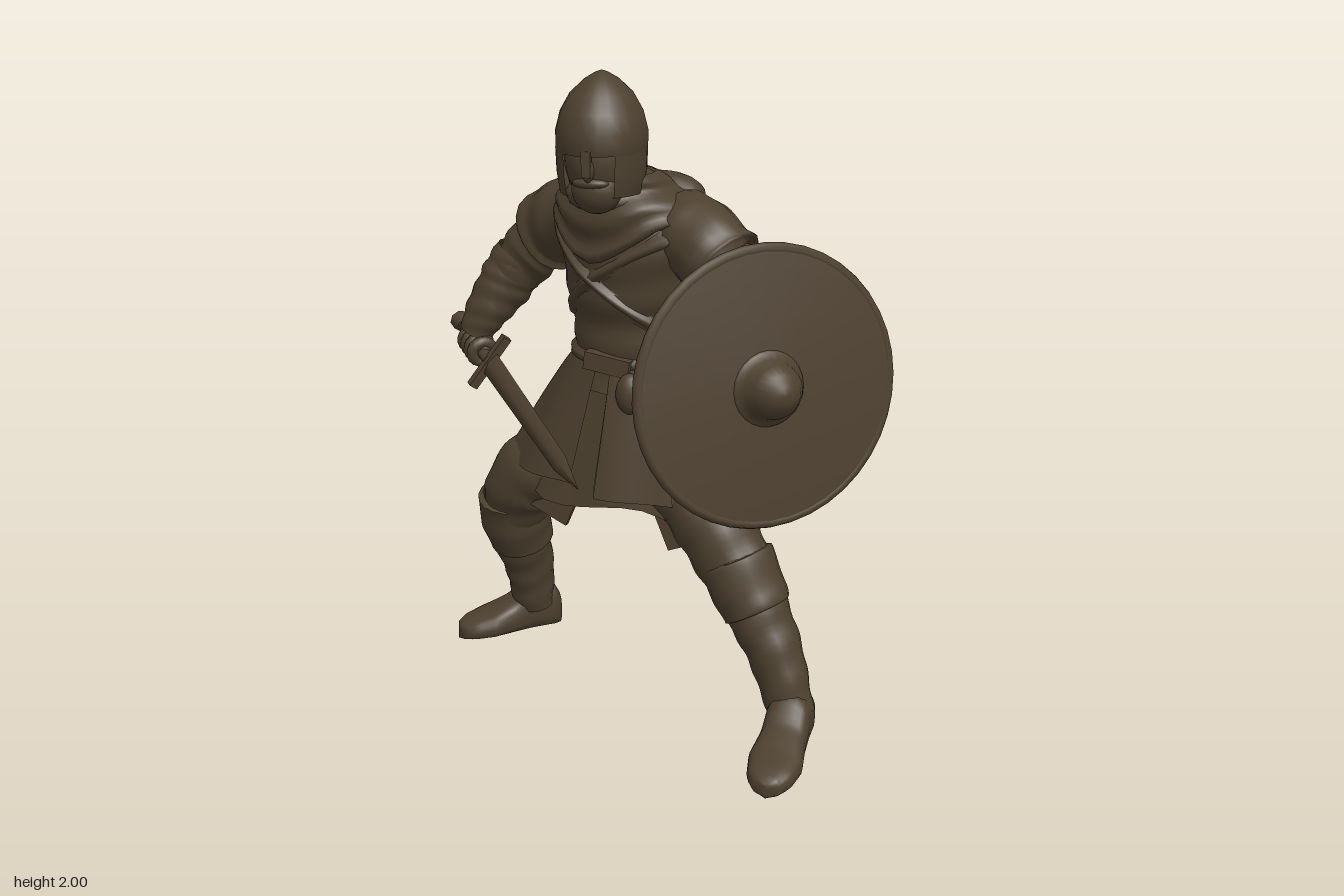
import * as THREE from 'three';
import { mergeVertices } from 'three/addons/utils/BufferGeometryUtils.js';
import { ParametricGeometry } from 'three/addons/geometries/ParametricGeometry.js';

const TAU = Math.PI * 2;
const V = (x, y, z) => new THREE.Vector3(x, y, z);

export function createModel() {
  const root = new THREE.Group();
  root.name = 'warrior';
  const brown = new THREE.MeshStandardMaterial({ color: 0x4d402f, side: THREE.DoubleSide });
  brown.name = 'dark brown';

  function add(name, geo, parent = root, pos) {
    const m = new THREE.Mesh(geo, brown);
    m.name = name;
    if (pos) m.position.set(...pos);
    parent.add(m);
    return m;
  }
  // Smooth welded surface from f(u, v) -> Vector3
  function surf(f, nu, nv) {
    let g = new ParametricGeometry((u, v, t) => t.copy(f(u, v)), nu, nv);
    g.deleteAttribute('uv');
    g.deleteAttribute('normal');
    g = mergeVertices(g, 1e-5);
    g.computeVertexNormals();
    return g;
  }
  // Linear lookup in rows keyed by their first entry (rising)
  function lookup(rows, k) {
    let i = 0;
    while (i < rows.length - 2 && k > rows[i + 1][0]) i++;
    const t = THREE.MathUtils.clamp((k - rows[i][0]) / (rows[i + 1][0] - rows[i][0]), 0, 1);
    return rows[i].map((a, j) => a + (rows[i + 1][j] - a) * t);
  }
  // Round sleeve or leg through [x, y, z, radius] points, with cloth folds
  function limb(name, pts, fold = 0.03, waves = 4, nv = 28) {
    const curve = new THREE.CatmullRomCurve3(pts.map(p => V(p[0], p[1], p[2])));
    const fr = curve.computeFrenetFrames(nv, false);
    const rows = pts.map((p, i) => [i / (pts.length - 1), p[3]]);
    return add(name, surf((u, v) => {
      const i = Math.round(v * nv), a = u * TAU;
      const wave = Math.sin(v * waves * TAU + 2.2 * Math.sin(a)) + 0.5 * Math.sin(v * 9 + 3 * a);
      const r = lookup(rows, v)[1] * (1 + fold * wave);
      return curve.getPoint(v)
        .addScaledVector(fr.normals[i], r * Math.cos(a))
        .addScaledVector(fr.binormals[i], r * Math.sin(a));
    }, 18, nv));
  }

  // Torso: turned ellipses [y, centre x, centre z, half width, half depth, turn]
  const body = [
    [1.02, 0, -0.15, 0.215, 0.185, 0.25], [1.12, 0, -0.155, 0.205, 0.18, 0.27],
    [1.25, 0, -0.155, 0.215, 0.195, 0.32], [1.4, 0, -0.14, 0.255, 0.21, 0.36],
    [1.52, 0, -0.14, 0.285, 0.195, 0.38], [1.6, -0.02, -0.12, 0.225, 0.175, 0.36],
    [1.66, -0.03, -0.08, 0.14, 0.13, 0.3], [1.72, -0.04, -0.02, 0.085, 0.09, 0.2]];
  function onBody(a, y, off = 0) {
    const [, cx, cz, rx, rz, w] = lookup(body, y);
    const p = (rx + off) * Math.cos(a), q = (rz + off) * Math.sin(a);
    return V(cx + p * Math.cos(w) - q * Math.sin(w), y, cz + p * Math.sin(w) + q * Math.cos(w));
  }
  add('torso', surf((u, v) => onBody(u * TAU, 1.02 + 0.7 * v,
    0.006 * Math.sin(v * 30 + 2 * Math.sin(u * TAU))), 36, 28));

  // Band lying on the torso; v bulges outwards so its edges meet the cloth
  function band(name, yMid, half, thick) {
    add(name, surf((u, v) => onBody(u * TAU, yMid(u * TAU) + (v * 2 - 1) * half,
      v > 0.2 && v < 0.8 ? thick : 0), 44, 6));
  }
  band('belt', () => 1.12, 0.03, 0.02);
  band('chestStrap', a => 1.38 + 0.17 * Math.cos(a), 0.03, 0.014);
  band('chestStrap', a => 1.38 - 0.17 * Math.cos(a), 0.03, 0.018);

  // Hood lying over the shoulders, pointed at the chest
  add('cowl', surf((u, v) => {
    const a = u * TAU, s = Math.sin(a);
    const low = 1.56 - 0.13 * Math.pow(Math.max(0, s), 5) - 0.05 * Math.max(0, -s);
    return v > 0.97 ? onBody(a, low, 0.003)
      : onBody(a, 1.7 + (low - 1.7) * v, 0.022 + 0.008 * Math.sin(v * 14));
  }, 36, 16));
  const roll = add('hoodRoll', new THREE.TorusGeometry(0.12, 0.036, 10, 26), root, [-0.035, 1.64, -0.06]);
  roll.rotation.x = Math.PI / 2 + 0.15;
  const hood = add('hoodFold', new THREE.SphereGeometry(1, 18, 12), root, [0.03, 1.6, -0.23]);
  hood.scale.set(0.17, 0.07, 0.1);
  hood.rotation.set(-0.45, -0.35, 0);

  // Skirt layers: open panels hanging from the belt
  function skirt(name, a0, a1, hem, off) {
    add(name, surf((u, v) => {
      const a = a0 + (a1 - a0) * u, y = 1.11 + (hem(a) - 1.11) * v, s = (1.11 - y) / 0.42;
      const f = off + 0.008 * s * Math.cos(9 * a);
      const p = (0.208 + 0.235 * Math.pow(s, 0.9) + f) * Math.cos(a);
      const q = (0.185 + 0.06 * s + f) * Math.sin(a);
      return V(-0.04 * s + p * 0.98 - q * 0.18, y, -0.15 + 0.015 * s + p * 0.14 + q * 0.98);
    }, 34, 10));
  }
  const F = Math.PI / 2;
  skirt('skirtLeftPanel', -F - 0.1, F - 0.1, a => 0.69 + 0.035 * Math.sin(a), 0.008);
  skirt('skirtRightPanel', F + 0.14, 3 * F + 0.08, a => 0.7 + 0.03 * Math.sin(a), 0.004);
  skirt('underTunic', 0, TAU, a => 0.645 + 0.02 * Math.cos(5 * a), -0.06);
  skirt('frontFlap', F - 0.72, F - 0.12, () => 0.71, 0.018);
  skirt('backFlap', -F - 0.45, -F + 0.25, () => 0.68, 0.016);
  // Loose tunic corners between the legs
  for (const [x, z, t] of [[-0.24, -0.05, -0.4], [0.2, 0.0, 0.4], [0.15, -0.27, 0.3], [-0.2, -0.27, -0.3]]) {
    const c = add('tunicCorner', new THREE.BoxGeometry(0.15, 0.2, 0.02), root, [x, 0.645, z]);
    c.rotation.z = t;
  }

  // Belt gear
  const pouch = add('beltPouch', new THREE.SphereGeometry(1, 14, 10), root, [0.06, 1.04, 0.06]);
  pouch.scale.set(0.045, 0.065, 0.04);
  const knot = add('beltKnot', new THREE.BoxGeometry(0.15, 0.055, 0.04), root, [-0.02, 1.12, 0.04]);
  knot.rotation.z = -0.12;
  const bag = add('backBag', new THREE.BoxGeometry(0.08, 0.17, 0.1), root, [-0.205, 1.125, -0.26]);
  bag.rotation.set(0, 0.5, -0.1);
  const flap = add('bagFlap', new THREE.BoxGeometry(0.092, 0.07, 0.112), root, [-0.2, 1.185, -0.26]);
  flap.rotation.copy(bag.rotation);

  // Head
  const head = new THREE.Group();
  head.name = 'head';
  head.position.set(-0.042, 0, 0.035);
  head.rotation.y = 0.12;
  root.add(head);
  const ball = (name, p, s) => add(name, new THREE.SphereGeometry(1, 20, 14), head, p).scale.set(...s);
  ball('face', [0, 1.76, 0.035], [0.1, 0.14, 0.1]);
  ball('beard', [0.005, 1.665, 0.065], [0.075, 0.072, 0.065]);
  ball('nose', [0, 1.73, 0.132], [0.018, 0.035, 0.022]);
  ball('moustache', [0, 1.69, 0.108], [0.055, 0.018, 0.028]);
  const lathe = (pts, a = 0, len = TAU) =>
    new THREE.LatheGeometry(pts.map(p => new THREE.Vector2(...p)), 24, a, len);
  add('helmetDome', lathe([[0.122, 1.775], [0.134, 1.772], [0.134, 1.83], [0.12, 1.885],
    [0.092, 1.935], [0.05, 1.975], [0.018, 1.994], [0, 2]]), head).scale.z = 1.14;
  add('helmetGuard', lathe([[0.112, 1.65], [0.122, 1.65], [0.131, 1.71], [0.134, 1.78]], 0.62, TAU - 1.24), head).scale.z = 1.13;
  add('noseGuard', new THREE.BoxGeometry(0.028, 0.075, 0.014), head, [0, 1.75, 0.147]);

  // Sword arm
  limb('rightUpperArm', [[-0.2, 1.51, -0.23, 0.125], [-0.33, 1.46, -0.29, 0.112],
    [-0.43, 1.385, -0.315, 0.102], [-0.51, 1.29, -0.31, 0.09]], 0.04);
  limb('rightSleeve', [[-0.17, 1.52, -0.21, 0.125], [-0.28, 1.5, -0.265, 0.133],
    [-0.35, 1.46, -0.295, 0.13], [-0.385, 1.43, -0.305, 0.132], [-0.387, 1.428, -0.305, 0.1]], 0.02, 3);
  limb('rightForearm', [[-0.49, 1.34, -0.315, 0.092], [-0.545, 1.25, -0.3, 0.094],
    [-0.6, 1.15, -0.26, 0.074], [-0.635, 1.07, -0.235, 0.052]], 0.035, 5);
  // Shield arm
  limb('leftUpperArm', [[0.19, 1.51, -0.08, 0.12], [0.3, 1.46, -0.025, 0.105],
    [0.39, 1.37, -0.03, 0.095], [0.44, 1.26, -0.045, 0.085]], 0.04);
  limb('leftSleeve', [[0.15, 1.53, -0.1, 0.12], [0.23, 1.51, -0.055, 0.128],
    [0.3, 1.465, -0.025, 0.124], [0.325, 1.445, -0.025, 0.126], [0.327, 1.443, -0.025, 0.09]], 0.02, 3);
  limb('leftForearm', [[0.435, 1.31, -0.04, 0.086], [0.445, 1.23, -0.05, 0.085],
    [0.43, 1.14, -0.02, 0.066], [0.42, 1.08, 0.01, 0.05]], 0.035, 5);
  add('leftHand', new THREE.SphereGeometry(0.055, 14, 10), root, [0.42, 1.07, 0.015]);

  // Legs
  limb('rightThigh', [[-0.1, 0.88, -0.16, 0.13], [-0.25, 0.73, -0.145, 0.135],
    [-0.385, 0.645, -0.135, 0.128], [-0.455, 0.52, -0.16, 0.112]]);
  limb('rightShin', [[-0.455, 0.58, -0.15, 0.103], [-0.46, 0.43, -0.19, 0.103],
    [-0.455, 0.26, -0.25, 0.085], [-0.455, 0.1, -0.285, 0.07]], 0.03, 5);
  limb('rightKneeWrap', [[-0.459, 0.565, -0.148, 0.1], [-0.46, 0.56, -0.15, 0.118],
    [-0.463, 0.46, -0.18, 0.118], [-0.46, 0.37, -0.21, 0.106], [-0.46, 0.365, -0.212, 0.08]], 0.02, 3);
  limb('leftThigh', [[0.08, 0.88, -0.12, 0.13], [0.21, 0.74, -0.06, 0.138],
    [0.32, 0.635, 0.0, 0.126], [0.415, 0.51, 0.035, 0.112]]);
  limb('leftShin', [[0.4, 0.55, 0.03, 0.108], [0.47, 0.42, 0.05, 0.101],
    [0.555, 0.27, 0.075, 0.085], [0.62, 0.1, 0.1, 0.07]], 0.03, 5);
  limb('leftKneeWrap', [[0.396, 0.552, 0.025, 0.1], [0.399, 0.547, 0.027, 0.12],
    [0.447, 0.46, 0.04, 0.115], [0.482, 0.4, 0.05, 0.106], [0.485, 0.395, 0.051, 0.08]], 0.02, 3);

  // Boots: rounded sections [along, half width, height] from heel to toe
  const boot = [[0, 0, 0.08], [0.03, 0.042, 0.12], [0.1, 0.064, 0.17], [0.32, 0.068, 0.185], [0.48, 0.07, 0.125],
    [0.7, 0.082, 0.09], [0.88, 0.068, 0.07], [0.97, 0.042, 0.055], [1, 0, 0.045]];
  const soft = (s, e) => Math.sign(s) * Math.pow(Math.abs(s), e);
  function foot(name, x, z, len, yaw) {
    const m = add(name, surf((u, v) => {
      const [, w, h] = lookup(boot, v), a = u * TAU;
      return V(w * soft(Math.cos(a), 0.8), h / 2 * (1 + soft(Math.sin(a), 0.7)), (v - 0.5) * len);
    }, 20, 30), root, [x, 0, z]);
    m.rotation.y = yaw;
  }
  foot('rightBoot', -0.525, -0.235, 0.38, -0.78);
  foot('leftBoot', 0.63, 0.225, 0.41, 0.08);

  // Round shield, facing forward and to its left, tipped slightly up
  const shield = new THREE.Group();
  shield.name = 'shield';
  shield.position.set(0.488, 1.11, 0.042);
  shield.rotation.set(-0.11, 0.8, 0, 'YXZ');
  root.add(shield);
  add('shieldBoard', lathe([[0, -0.018], [0.41, -0.018], [0.41, 0.012], [0, 0.012]]).rotateX(F), shield);
  add('shieldRim', new THREE.TorusGeometry(0.408, 0.018, 8, 40), shield, [0, 0, -0.003]);
  add('shieldBoss', lathe([[0.115, 0.01], [0.11, 0.02], [0.09, 0.03], [0.08, 0.07],
    [0.055, 0.105], [0.025, 0.12], [0, 0.123]]).rotateX(F), shield);
  add('shieldGrip', new THREE.BoxGeometry(0.04, 0.5, 0.025), shield, [0, 0, -0.03]);

  // Sword, laid along its own y axis from pommel to tip, rolled outwards
  const sword = new THREE.Group();
  sword.name = 'sword';
  const d = V(0.82, -0.2, 0.8).normalize();
  const w = V(0.1, 0.16, -0.06);
  w.addScaledVector(d, -w.dot(d)).normalize();
  sword.quaternion.setFromRotationMatrix(new THREE.Matrix4().makeBasis(w, d, w.clone().cross(d)));
  sword.position.set(-0.765, 1.07, -0.37);
  root.add(sword);
  add('pommel', new THREE.CylinderGeometry(0.024, 0.036, 0.05, 8), sword, [0, 0.02, 0]);
  add('grip', new THREE.CylinderGeometry(0.02, 0.018, 0.29, 10), sword, [0, 0.18, 0]);
  add('crossGuard', new THREE.BoxGeometry(0.2, 0.028, 0.03), sword, [0, 0.33, 0]);
  add('blade', new THREE.CylinderGeometry(0.028, 0.038, 0.68, 4), sword, [0, 0.68, 0]).scale.z = 0.25;
  add('bladeTip', new THREE.ConeGeometry(0.028, 0.16, 4), sword, [0, 1.1, 0]).scale.z = 0.25;
  add('rightHand', new THREE.SphereGeometry(1, 14, 10), sword, [0.01, 0.2, 0]).scale.set(0.05, 0.075, 0.046);
  for (let i = 0; i < 4; i++) {
    add('finger', new THREE.TorusGeometry(0.035, 0.02, 8, 16), sword, [0, 0.145 + i * 0.036, 0]).rotation.x = F;
  }
  return root;
}
